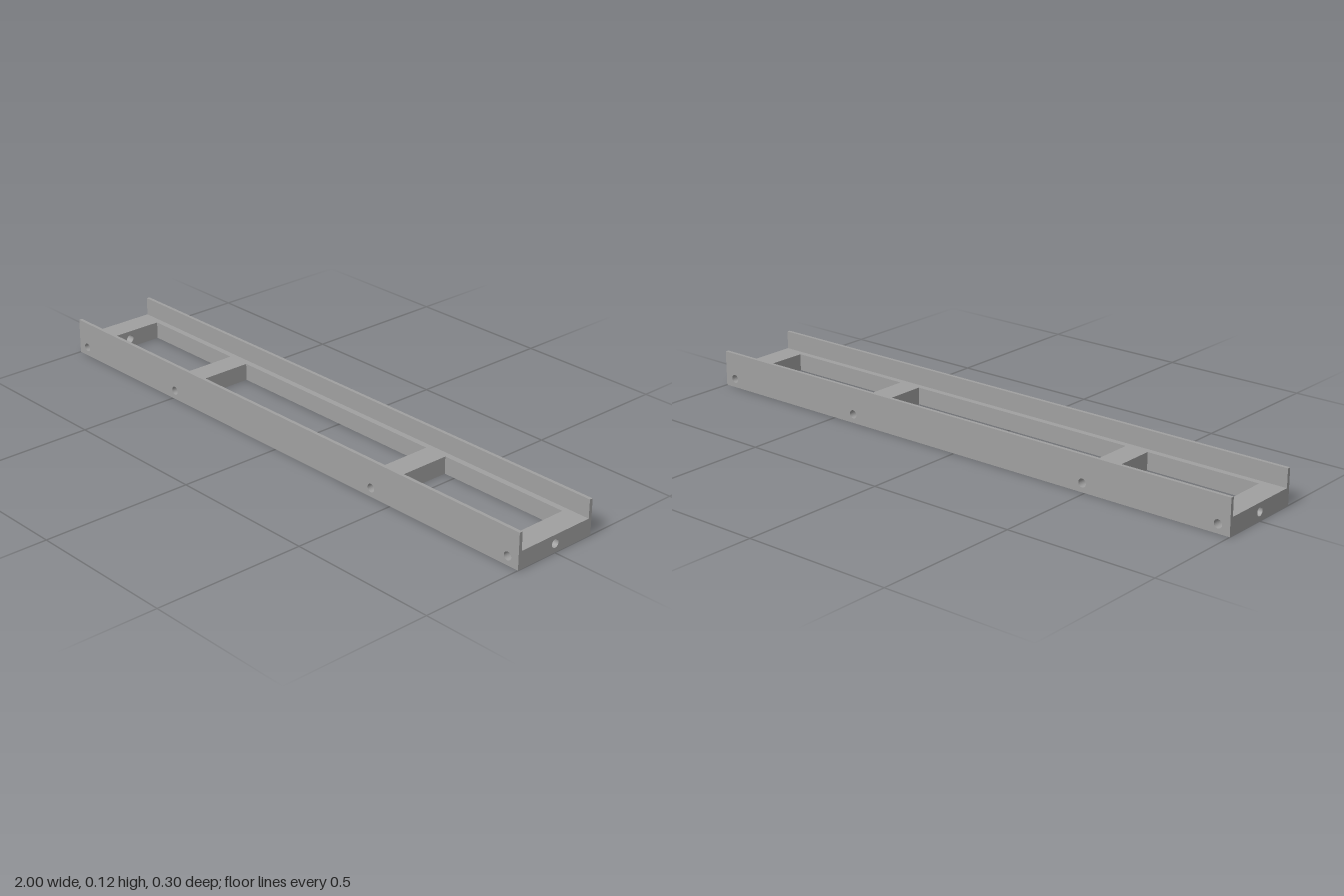
import * as THREE from 'three';

const HEIGHT = 0.117, BAR_H = 0.057;      // side wall and frame heights
const HALF_Z = 0.149, INNER_Z = 0.117, WALL = 0.0115;
const HOLE_Y = 0.029, HOLE_R = 0.0137;
const BAR_W = 0.08, BAR_X = [-0.96, -0.49, 0.42, 0.96];

export function createModel() {
  const model = new THREE.Group();
  const metal = new THREE.MeshStandardMaterial({ color: 0xa0a0a0 });
  metal.name = 'grey metal';

  // Upright plate, pierced by round holes, extruded along +z
  function drilledPlate(halfWidth, height, depth, holeXs) {
    const shape = new THREE.Shape([
      new THREE.Vector2(-halfWidth, 0), new THREE.Vector2(halfWidth, 0),
      new THREE.Vector2(halfWidth, height), new THREE.Vector2(-halfWidth, height),
    ]);
    for (const x of holeXs) {
      shape.holes.push(new THREE.Path().absarc(x, HOLE_Y, HOLE_R, 0, Math.PI * 2, true));
    }
    return new THREE.ExtrudeGeometry(shape, { depth, bevelEnabled: false, curveSegments: 24 });
  }

  function add(name, geometry) {
    const mesh = new THREE.Mesh(geometry, metal);
    mesh.name = name;
    model.add(mesh);
  }

  // Tall side walls with the low rails behind them; the back is turned round
  for (const side of [1, -1]) {
    const label = side > 0 ? 'front' : 'back';
    const holes = BAR_X.map((x) => x * side);
    const turn = side > 0 ? 0 : Math.PI;
    add(label + 'Wall', drilledPlate(1, HEIGHT, WALL, holes)
      .translate(0, 0, HALF_Z - WALL).rotateY(turn));
    add(label + 'Rail', drilledPlate(1, BAR_H, HALF_Z - WALL - INNER_Z, holes)
      .translate(0, 0, INNER_Z).rotateY(turn));
  }

  // Cross bars: the two end bars are drilled lengthwise, the middle ones are solid
  BAR_X.forEach((x, i) => {
    const isEnd = i === 0 || i === BAR_X.length - 1;
    add(isEnd ? 'endBar' : 'crossBar', drilledPlate(INNER_Z, BAR_H, BAR_W, isEnd ? [0] : [])
      .translate(0, 0, -BAR_W / 2).rotateY(Math.PI / 2).translate(x, 0, 0));
  });

  return model;
}
